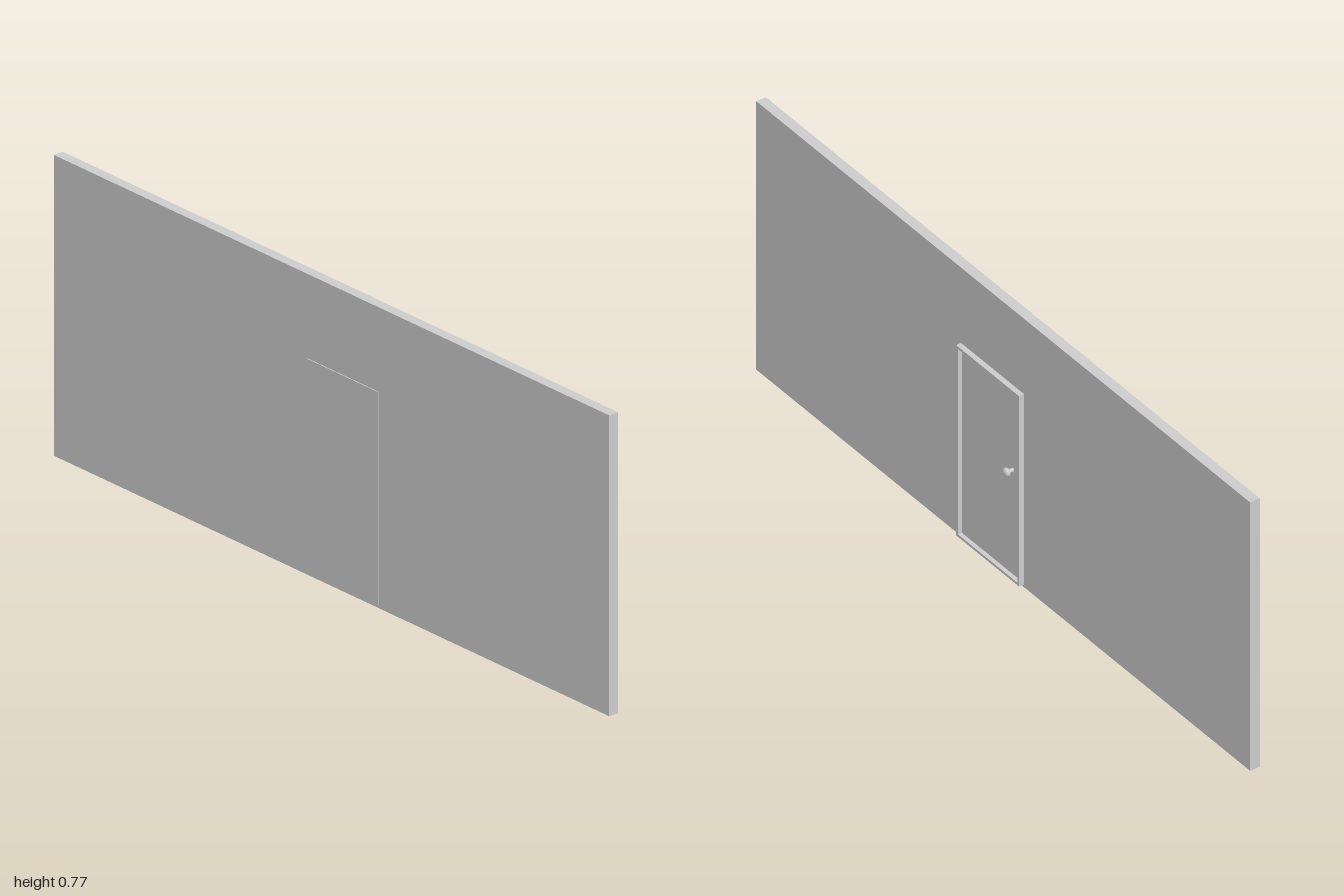
import * as THREE from 'three';

const grey = new THREE.MeshStandardMaterial({ color: 0xcccccc });

// Box given by its minimum and maximum corners
function box(name, [x0, y0, z0], [x1, y1, z1]) {
  const mesh = new THREE.Mesh(new THREE.BoxGeometry(x1 - x0, y1 - y0, z1 - z0), grey);
  mesh.name = name;
  mesh.position.set((x0 + x1) / 2, (y0 + y1) / 2, (z0 + z1) / 2);
  return mesh;
}

export function createModel() {
  const model = new THREE.Group();
  model.name = 'wallWithDoor';

  // Long thin wall
  model.add(box('wall', [-0.028, 0, -1], [0, 0.77, 1]));

  // Door leaf passing through the wall, slightly proud at the back
  const back = -0.0305, face = 0.003, front = 0.0145;
  const z0 = -0.085, z1 = 0.17, y0 = 0.008, y1 = 0.554, t = 0.007;
  model.add(box('doorLeaf', [back, y0, z0], [face, y1, z1]));

  // Narrow raised frame around the leaf
  const shape = new THREE.Shape();
  shape.moveTo(-z1, y0).lineTo(-z0, y0).lineTo(-z0, y1).lineTo(-z1, y1).closePath();
  const hole = new THREE.Path();
  hole.moveTo(-z1 + t, y0 + t).lineTo(-z1 + t, y1 - t).lineTo(-z0 - t, y1 - t).lineTo(-z0 - t, y0 + t).closePath();
  shape.holes.push(hole);
  const frame = new THREE.Mesh(
    new THREE.ExtrudeGeometry(shape, { depth: front, bevelEnabled: false }), grey);
  frame.name = 'doorFrame';
  frame.rotation.y = Math.PI / 2;
  model.add(frame);

  // Flattened round knob on a short stem
  const knob = new THREE.Group();
  knob.name = 'doorKnob';
  knob.position.set(0.0215, 0.315, -0.044);
  const ball = new THREE.Mesh(new THREE.SphereGeometry(0.0118, 24, 16), grey);
  ball.name = 'knobBall';
  ball.scale.x = 0.68;
  const stem = new THREE.Mesh(new THREE.CylinderGeometry(0.005, 0.005, 0.02, 16), grey);
  stem.name = 'knobStem';
  stem.rotation.z = Math.PI / 2;
  stem.position.x = -0.0105;
  knob.add(ball, stem);
  model.add(knob);

  return model;
}
